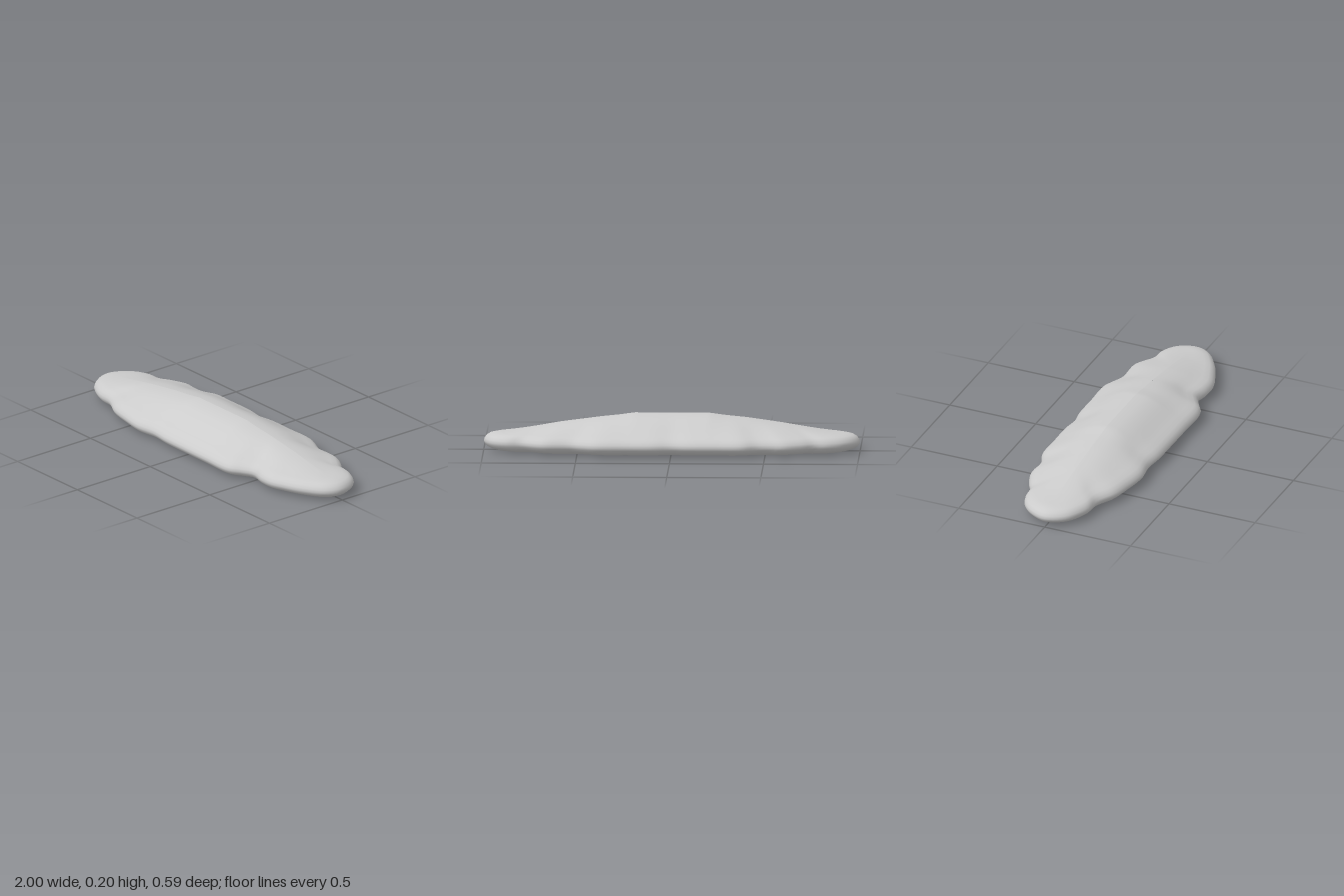
import * as THREE from 'three';

// Wavy plan outline as x, z pairs: along the back, then along the front
const OUTLINE = [
  -1, 0, -0.97, -0.09, -0.91, -0.155, -0.83, -0.188, -0.76, -0.192, -0.7, -0.225, -0.6, -0.262,
  -0.53, -0.257, -0.46, -0.262, -0.38, -0.293, -0.25, -0.294, -0.1, -0.294, 0, -0.281, 0.1, -0.294,
  0.25, -0.294, 0.4, -0.294, 0.47, -0.268, 0.53, -0.243, 0.68, -0.24, 0.74, -0.21, 0.8, -0.172,
  0.88, -0.162, 0.96, -0.11, 1, 0, 0.97, 0.08, 0.87, 0.155, 0.76, 0.205, 0.68, 0.232, 0.6, 0.232,
  0.52, 0.216, 0.46, 0.245, 0.39, 0.286, 0.2, 0.288, 0, 0.287, -0.14, 0.285, -0.25, 0.274,
  -0.37, 0.287, -0.5, 0.267, -0.62, 0.24, -0.73, 0.185, -0.83, 0.172, -0.95, 0.105,
];

// Height of the ridge line for |x|
const RIDGE = [[0, 0.2], [0.2, 0.2], [0.28, 0.188], [0.4, 0.176], [0.6, 0.148], [0.8, 0.113], [0.9, 0.1], [1, 0.1]];

// Rings from the middle of the underside, round the rim, to the ridge:
// [inset distance, fraction towards the spine, rim height, share of the dome]
const RINGS = [
  [0, 1, 0, 0], [0, 0.7, 0, 0], [0.1, 0, 0, 0], [0.06, 0, 0.006, 0], [0.035, 0, 0.014, 0],
  [0.017, 0, 0.023, 0], [0.005, 0, 0.036, 0], [0, 0, 0.05, 0], [0.004, 0, 0.064, 0],
  [0.015, 0, 0.079, 0], [0.033, 0, 0.09, 0.03], [0.055, 0.03, 0.096, 0.12], [0.04, 0.22, 0.099, 0.31],
  [0, 0.5, 0.1, 0.56], [0, 0.66, 0.1, 0.79], [0, 0.83, 0.1, 0.95], [0, 1, 0.1, 1],
];

function ridgeHeight(x) {
  const a = Math.min(Math.abs(x), 0.999);
  const i = RIDGE.findIndex(([end]) => end > a);
  const [x0, y0] = RIDGE[i - 1], [x1, y1] = RIDGE[i];
  return THREE.MathUtils.lerp(y0, y1, (a - x0) / (x1 - x0));
}

function moundGeometry(segments) {
  const points = [];
  for (let i = 0; i < OUTLINE.length; i += 2) points.push(new THREE.Vector3(OUTLINE[i], 0, OUTLINE[i + 1]));
  const rim = new THREE.CatmullRomCurve3(points, true).getSpacedPoints(segments).slice(0, segments);

  const positions = [], index = [];
  RINGS.forEach(([inset, fraction, base, dome], r) => {
    rim.forEach((p, i) => {
      // Each rim point moves in towards a spine along x
      const spine = new THREE.Vector3(p.x * 0.8, 0, 0);
      const t = Math.min(1, fraction + inset / p.distanceTo(spine));
      const q = p.clone().lerp(spine, t);
      positions.push(q.x, base + (ridgeHeight(q.x) - 0.1) * dome, q.z);
      if (r === RINGS.length - 1) return;
      const a = r * segments + i, b = r * segments + (i + 1) % segments;
      index.push(a, a + segments, b, b, a + segments, b + segments);
    });
  });
  const geometry = new THREE.BufferGeometry();
  geometry.setAttribute('position', new THREE.Float32BufferAttribute(positions, 3));
  geometry.setIndex(index);
  geometry.computeVertexNormals();
  return geometry;
}

export function createModel() {
  const group = new THREE.Group();
  group.name = 'flatMound';
  const mound = new THREE.Mesh(moundGeometry(200), new THREE.MeshStandardMaterial({ color: 0xcccccc }));
  mound.name = 'moundBody';
  group.add(mound);
  return group;
}
